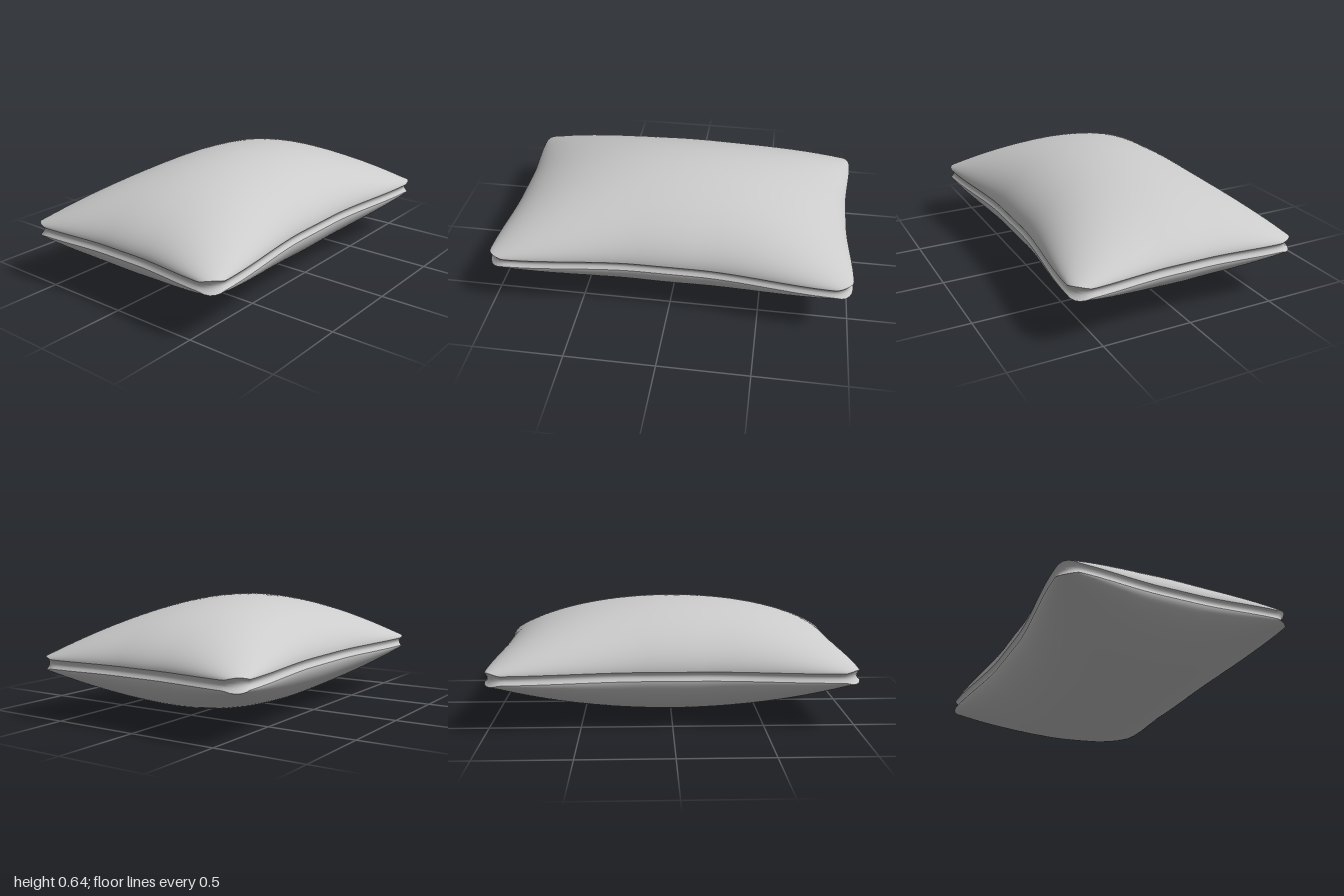
import * as THREE from 'three';

const HALF_W = 0.65, HALF_L = 1, CORNER = 0.09;
const SEAM_TOP = 0.332, SEAM_BOTTOM = 0.282;
const { smoothstep } = THREE.MathUtils;

// Rounded rectangle, evenly sampled: the unpinched outline of the cushion
function outline(count) {
  const a = HALF_W, b = HALF_L, r = CORNER;
  const s = new THREE.Shape();
  s.moveTo(a, 0);
  s.lineTo(a, b - r);
  s.absarc(a - r, b - r, r, 0, Math.PI / 2);
  s.lineTo(-a + r, b);
  s.absarc(-a + r, b - r, r, Math.PI / 2, Math.PI);
  s.lineTo(-a, -b + r);
  s.absarc(-a + r, -b + r, r, Math.PI, Math.PI * 1.5);
  s.lineTo(a - r, -b);
  s.absarc(a - r, -b + r, r, Math.PI * 1.5, Math.PI * 2);
  s.lineTo(a, 0);
  return s.getSpacedPoints(count).slice(0, count);
}

// Draws the middle of each side inwards, leaving the corners out
function pinch(x, y, z) {
  const px = x * (0.9 + 0.1 * smoothstep(Math.abs(z), 0.15, 0.93));
  const pz = z * (0.967 + 0.033 * smoothstep(Math.abs(x), 0.1, 0.58));
  return new THREE.Vector3(px, y, pz);
}

// Fullness of the filling: 1 in the centre, 0 along the sides
function puff(x, z) {
  const f = (s) => Math.pow(Math.max(0, 1 - s * s), 0.57);
  return f(x / HALF_W) * f(z / HALF_L);
}

// Joins closed loops of equal length with a smooth skin
function loft(loops, flip) {
  const n = loops[0].length, index = [];
  for (let i = 0; i < loops.length - 1; i++) {
    for (let j = 0; j < n; j++) {
      const a = i * n + j, b = i * n + (j + 1) % n, c = a + n, d = b + n;
      if (flip) index.push(a, b, c, b, d, c);
      else index.push(a, c, b, b, c, d);
    }
  }
  const g = new THREE.BufferGeometry().setFromPoints(loops.flat());
  g.setIndex(index);
  g.computeVertexNormals();
  return g;
}

export function createModel() {
  const group = new THREE.Group();
  group.name = 'cushion';
  const material = new THREE.MeshStandardMaterial({ color: 0xcccccc, side: THREE.DoubleSide });
  const edge = outline(240);
  const add = (name, geometry) => {
    const mesh = new THREE.Mesh(geometry, material);
    mesh.name = name;
    group.add(mesh);
  };

  // Puffed panel: scaled outlines from the centre out, closer near the seam
  const panel = (seam, height) => {
    const loops = [], rings = 28;
    for (let i = 0; i <= rings; i++) {
      const t = Math.max(0.001, 1 - (1 - i / rings) ** 2);
      loops.push(edge.map((p) => pinch(p.x * t, seam + height * puff(p.x * t, p.y * t), p.y * t)));
    }
    return loops;
  };
  const top = panel(SEAM_TOP, 0.645 - SEAM_TOP);
  const bottom = panel(SEAM_BOTTOM, 0.004 - SEAM_BOTTOM);
  add('topPanel', loft(top, false));
  add('bottomPanel', loft(bottom, true));

  // Side band between the two seams, slightly hollow along its middle
  const upper = top.at(-1), lower = bottom.at(-1);
  const band = [];
  for (let k = 0; k <= 6; k++) {
    const s = k / 6, inset = 0.014 * Math.sin(Math.PI * s);
    band.push(upper.map((p, j) => {
      const q = p.clone().lerp(lower[j], s);
      q.x *= 1 - inset / HALF_W;
      q.z *= 1 - inset / HALF_L;
      return q;
    }));
  }
  add('sideBand', loft(band, false));
  return group;
}
